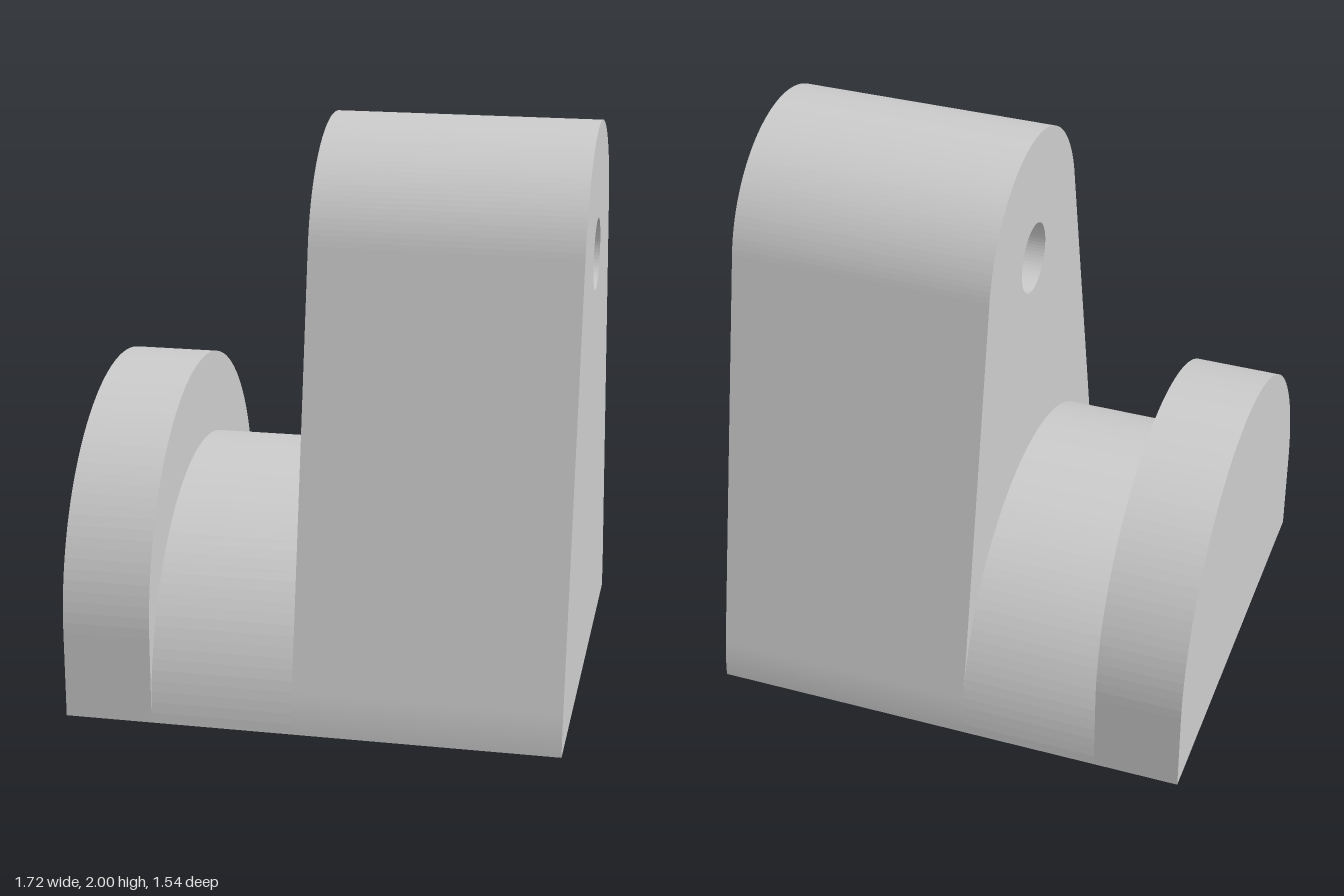
import * as THREE from 'three';

const R = 0.77;          // base radius
const TOP_R = 0.46;      // radius of the rounded head
const TOP_Y = 1.54;      // height of the head and its bore
const HOLE_R = 0.125;
const material = new THREE.MeshStandardMaterial({ color: 0xcccccc });

// Extrudes a z-y profile along x from x0 to x1
function slab(name, shape, x0, x1) {
  const geometry = new THREE.ExtrudeGeometry(shape, {
    depth: x1 - x0, bevelEnabled: false, curveSegments: 32,
  });
  geometry.rotateY(Math.PI / 2);
  geometry.translate(x0, 0, 0);
  const mesh = new THREE.Mesh(geometry, material);
  mesh.name = name;
  return mesh;
}

// Half disc raised on straight sides of height h
function archShape(h) {
  const s = new THREE.Shape();
  s.moveTo(-R, 0);
  s.lineTo(R, 0);
  s.absarc(0, h, R, 0, Math.PI, false);
  s.closePath();
  return s;
}

// Tapered upright: sides run tangent from the base circle to the head circle
function uprightShape() {
  const t = Math.asin((R - TOP_R) / TOP_Y);
  const s = new THREE.Shape();
  s.moveTo(-R, 0);
  s.lineTo(R, 0);
  s.absarc(0, 0, R, 0, t, false);
  s.absarc(0, TOP_Y, TOP_R, t, Math.PI - t, false);
  s.absarc(0, 0, R, Math.PI - t, Math.PI, false);
  s.closePath();
  const bore = new THREE.Path();
  bore.absarc(0, TOP_Y, HOLE_R, 0, Math.PI * 2, true);
  s.holes.push(bore);
  return s;
}

export function createModel() {
  const model = new THREE.Group();
  model.name = 'bearingBracket';
  model.add(
    slab('endFlange', archShape(0.31), -0.86, -0.555),
    slab('halfRoundSaddle', archShape(0), -0.555, -0.063),
    slab('boredUpright', uprightShape(), -0.063, 0.86),
  );
  return model;
}
